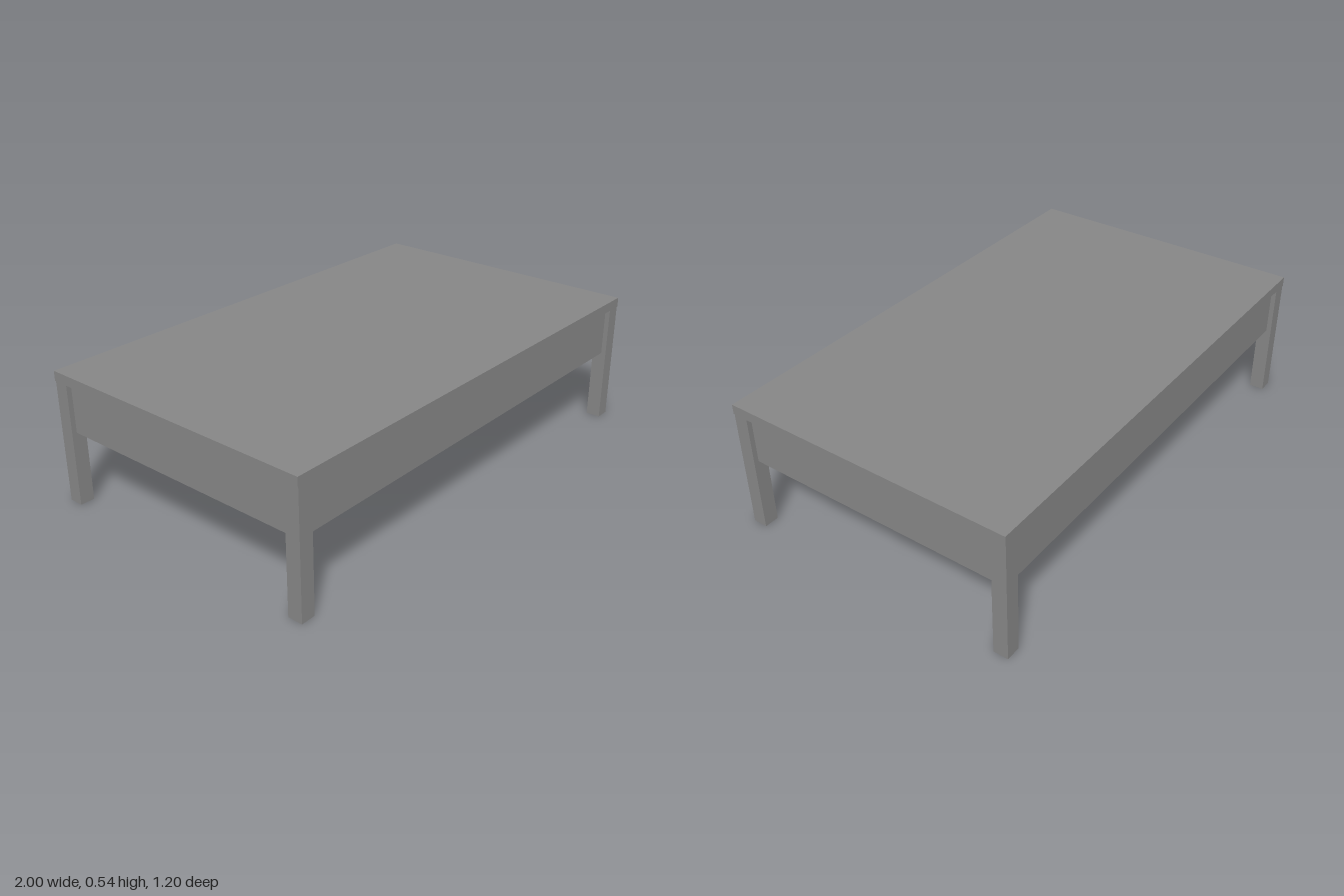
import * as THREE from 'three';

export function createModel() {
  const model = new THREE.Group();
  model.name = 'lowTable';
  const material = new THREE.MeshStandardMaterial({ color: 0x868686 });

  const W = 2, D = 1.2, H = 0.54;              // overall size
  const topT = 0.04, leg = 0.06;               // top thickness, leg width
  const frameW = W - 0.006, frameD = D - 0.002; // frame, a hair inside the top
  const apronH = 0.2, apronT = 0.02, recess = 0.02;
  const legH = H - topT;

  const box = (name, w, h, d, x, y, z) => {
    const mesh = new THREE.Mesh(new THREE.BoxGeometry(w, h, d), material);
    mesh.name = name;
    mesh.position.set(x, y, z);
    model.add(mesh);
  };

  // Table top
  box('tableTop', W, topT, D, 0, H - topT / 2, 0);

  // Legs at the corners of the frame
  for (const [sx, side] of [[1, 'Left'], [-1, 'Right']]) {
    for (const [sz, end] of [[1, 'front'], [-1, 'back']]) {
      box(`${end}${side}Leg`, leg, legH, leg, sx * (frameW - leg) / 2, legH / 2, sz * (frameD - leg) / 2);
    }
  }

  // Aprons between the legs, set back from the outer faces
  const apronY = legH - apronH / 2;
  const inset = recess + apronT / 2;
  for (const [s, end, side] of [[1, 'front', 'left'], [-1, 'back', 'right']]) {
    box(`${end}Apron`, frameW - 2 * leg, apronH, apronT, 0, apronY, s * (frameD / 2 - inset));
    box(`${side}Apron`, apronT, apronH, frameD - 2 * leg, s * (frameW / 2 - inset), apronY, 0);
  }

  return model;
}
